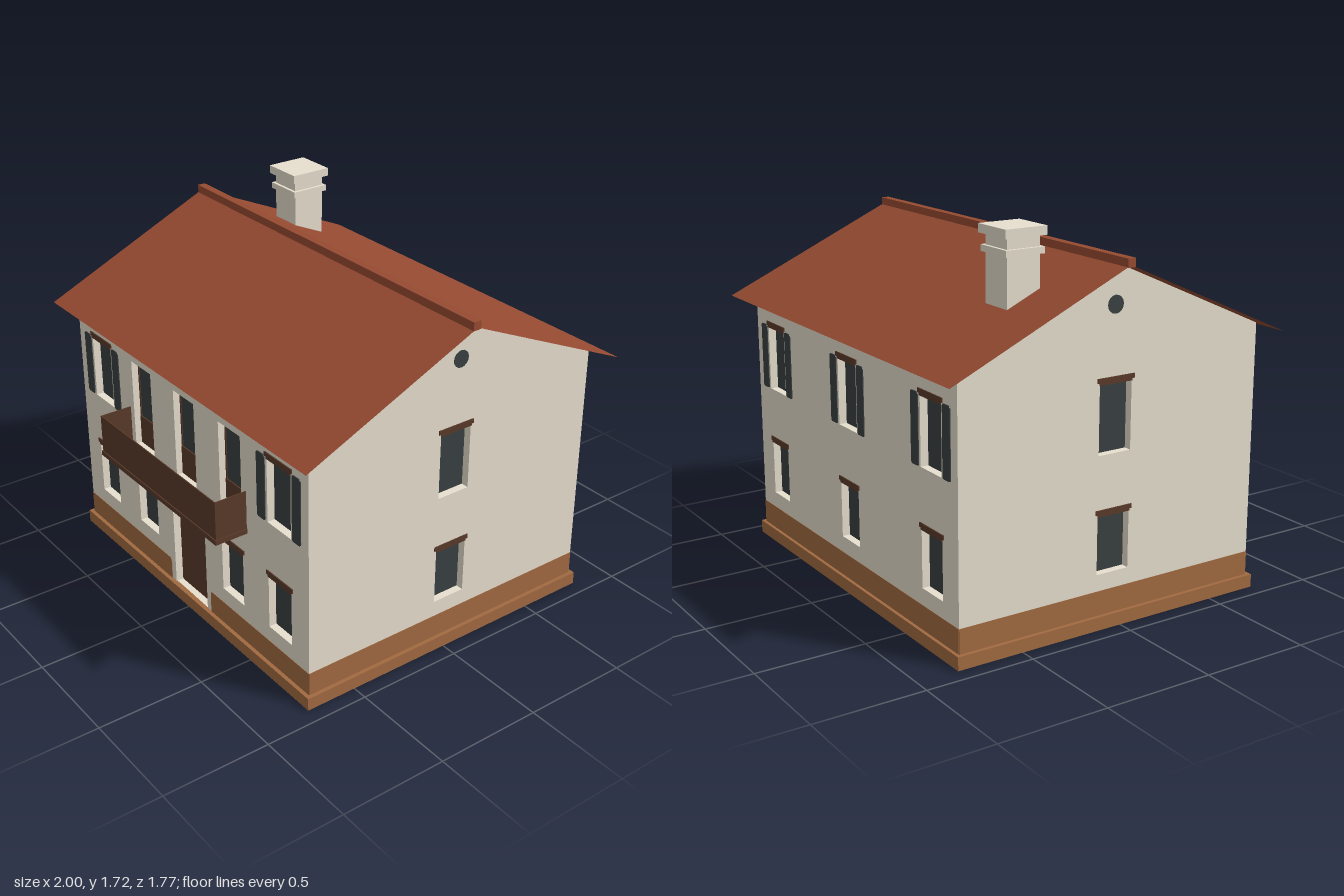
import * as THREE from 'three';

const mat = (name, color, side = THREE.FrontSide) => {
  const m = new THREE.MeshStandardMaterial({ color, side });
  m.name = name;
  return m;
};

export function createModel() {
  const plaster = mat('plaster', 0xe7dfce);
  const tile = mat('roof tile', 0x964b31, THREE.DoubleSide);
  const stone = mat('plinth stone', 0xa26a41);
  const wood = mat('dark wood', 0x5a3a29);
  const slate = mat('slate glass', 0x394041);

  const model = new THREE.Group();
  model.name = 'house';

  const add = (parent, name, geometry, material) => {
    const mesh = new THREE.Mesh(geometry, material);
    mesh.name = name;
    parent.add(mesh);
    return mesh;
  };
  // box given by its minimum and maximum corners
  const box = (parent, name, material, x0, x1, y0, y1, z0, z1) => {
    const mesh = add(parent, name, new THREE.BoxGeometry(x1 - x0, y1 - y0, z1 - z0), material);
    mesh.position.set((x0 + x1) / 2, (y0 + y1) / 2, (z0 + z1) / 2);
    return mesh;
  };
  const outline = (pts, Type = THREE.Shape) => new Type(pts.map(p => new THREE.Vector2(...p)));
  const rect = (x0, x1, y0, y1, Type) => outline([[x0, y0], [x1, y0], [x1, y1], [x0, y1]], Type);
  const extrude = (shape, depth) =>
    new THREE.ExtrudeGeometry(shape, { depth, bevelEnabled: false, curveSegments: 5 });
  const roundRect = (w, h, r) => {
    const s = new THREE.Shape(), x = w / 2, y = h / 2;
    s.absarc(x - r, y - r, r, 0, Math.PI / 2);
    s.absarc(-x + r, y - r, r, Math.PI / 2, Math.PI);
    s.absarc(-x + r, -y + r, r, Math.PI, Math.PI * 1.5);
    s.absarc(x - r, -y + r, r, Math.PI * 1.5, Math.PI * 2);
    return s;
  };

  const X = 0.908, Z0 = -0.795, Z1 = 0.725, FOOT = 0.055;
  const RIDGE_Z = -0.04, RIDGE_Y = 1.573, SLOPE = 0.447, RECESS = 0.04;
  const roofY = z => RIDGE_Y - Math.abs(z - RIDGE_Z) * SLOPE;

  // a wall with its outer face at local z = 0 and recessed openings
  function facade(name, wallPoints, openings, position, angle) {
    const group = new THREE.Group();
    group.name = name;
    group.position.set(...position);
    group.rotation.y = angle;
    model.add(group);
    const shape = outline(wallPoints);
    for (const o of openings) {
      const x0 = o.x - o.w / 2, x1 = o.x + o.w / 2;
      shape.holes.push(rect(x0, x1, o.y0, o.y1, THREE.Path));
      const pane = box(group, o.door ? 'frontDoor' : 'windowPane', o.door ? wood : slate,
        x0, x1, o.y0, o.y1, -RECESS - 0.01, -RECESS + 0.004);
      if (o.balcony) {
        pane.name = 'balconyDoorPane';
        box(group, 'balconyDoorPanel', wood, x0, x1, o.y0, 0.8, -RECESS, -RECESS + 0.01);
        const frame = rect(x0, x1, o.y0, o.y1);
        frame.holes.push(rect(x0 + 0.008, x1 - 0.008, o.y0 + 0.008, o.y1 - 0.01, THREE.Path));
        add(group, 'balconyDoorFrame', extrude(frame, 0.008), wood).position.z = -RECESS;
      }
      if (o.lintel) {
        const half = o.lintel / 2, h = o.door ? 0.03 : 0.02;
        box(group, 'lintel', wood, o.x - half, o.x + half, o.y1, o.y1 + h, -0.02, 0.005);
        box(group, 'lintelStep', wood, o.x - half + 0.01, o.x + half - 0.01,
          o.y1 - 0.01, o.y1, -0.02, 0.004);
      }
      if (o.shutters) for (const s of [-1, 1]) {
        add(group, 'shutter', extrude(roundRect(0.058, 0.31, 0.012), 0.004), slate)
          .position.set(o.x + s * 0.123, 0.925, 0);
      }
    }
    add(group, 'wall', extrude(shape, RECESS), plaster).position.z = -RECESS;
    return group;
  }

  const upper = x => ({ x, w: 0.163, y0: 0.77, y1: 1.08, lintel: 0.187, shutters: true });
  const lower = x => ({ x, w: 0.163, y0: 0.245, y1: 0.512, lintel: 0.186 });
  const balconyDoor = x => ({ x, w: 0.163, y0: 0.66, y1: 1.085, balcony: true });
  const sideWindows = u => [{ ...upper(u), shutters: false }, lower(u)];

  // front and back walls
  const eave = roofY(Z1) - 0.004;
  const longWall = [[-X, FOOT], [X, FOOT], [X, eave], [-X, eave]];
  const front = facade('frontWall', longWall, [
    ...[-0.706, 0.706].map(upper),
    ...[-0.706, -0.353, 0.353, 0.706].map(lower),
    ...[-0.353, 0, 0.353].map(balconyDoor),
    { x: 0, w: 0.266, y0: 0.06, y1: 0.573, lintel: 0.318, door: true },
  ], [0, 0, Z1], 0);
  const back = facade('backWall', longWall,
    [-0.706, 0, 0.706].flatMap(x => [upper(x), lower(x)]), [0, 0, Z0], Math.PI);

  // gable walls, each with a round vent
  for (const s of [-1, 1]) {
    const pts = [[s * Z0, FOOT], [s * Z1, FOOT], [s * Z1, roofY(Z1) - 0.004],
      [s * RIDGE_Z, RIDGE_Y - 0.004], [s * Z0, roofY(Z0) - 0.004]];
    const gable = facade(s < 0 ? 'leftGable' : 'rightGable', pts, sideWindows(s * -0.034),
      [-s * X, 0, 0], -s * Math.PI / 2);
    const vent = add(gable, 'roundVent', new THREE.CylinderGeometry(0.039, 0.039, 0.006, 16), slate);
    vent.rotation.x = Math.PI / 2;
    vent.position.set(s * -0.043, 1.4, 0);
    const a = Math.min(s * Z0, s * Z1), b = Math.max(s * Z0, s * Z1);
    box(gable, 'plinthBand', stone, a, b, 0.06, 0.17, -0.002, 0.002);
  }

  // plinth bands on front and back, rounded beside the front door
  box(back, 'plinthBand', stone, -X, X, 0.06, 0.17, -0.002, 0.002);
  for (const d of [-1, 1]) {
    const s = new THREE.Shape();
    s.moveTo(d * X, 0.06);
    s.lineTo(d * 0.166, 0.06);
    s.lineTo(d * 0.166, 0.155);
    s.quadraticCurveTo(d * 0.166, 0.17, d * 0.181, 0.17);
    s.lineTo(d * X, 0.17);
    add(front, 'plinthBand', extrude(s, 0.002), stone);
  }

  // base: a thin rim, open below, with the floor near its top
  const rim = rect(-0.928, 0.928, -0.745, 0.812);
  rim.holes.push(rect(-0.922, 0.922, -0.739, 0.806, THREE.Path));
  add(model, 'baseRim', extrude(rim, 0.06), stone).rotation.x = -Math.PI / 2;
  box(model, 'baseFloor', stone, -0.923, 0.923, 0.05, 0.06, -0.807, 0.74);

  // roof: two thin slopes and a ridge cap
  for (const [name, z] of [['frontRoof', 0.805], ['backRoof', -0.885]]) {
    const g = new THREE.PlaneGeometry(2, Math.hypot(z - RIDGE_Z, RIDGE_Y - roofY(z)));
    const mesh = add(model, name, g, tile);
    mesh.rotation.order = 'YXZ';
    mesh.rotation.set(Math.atan(SLOPE) - Math.PI / 2, z > 0 ? 0 : Math.PI, 0);
    mesh.position.set(0, (RIDGE_Y + roofY(z)) / 2, (RIDGE_Z + z) / 2);
  }
  box(model, 'ridgeCap', tile, -1, 1, 1.563, 1.601, -0.056, -0.018);

  // small rafter ends beneath the eaves
  for (const wall of [front, back]) for (let i = 0; i < 15; i++) {
    const x = -0.84 + i * 0.12;
    box(wall, 'rafterEnd', wood, x - 0.006, x + 0.006, 1.203, 1.218, -0.01, 0.006);
  }

  // chimney
  const chimney = new THREE.Group();
  chimney.name = 'chimney';
  chimney.position.set(-0.648, 0, -0.369);
  model.add(chimney);
  for (const [name, w, y0, y1] of [['shaft', 0.158, 1.33, 1.69], ['collar', 0.186, 1.605, 1.633], ['cap', 0.199, 1.68, 1.718]])
    box(chimney, name, plaster, -w / 2, w / 2, y0, y1, -w / 2, w / 2);

  // balcony with thin panels
  const balcony = new THREE.Group();
  balcony.name = 'balcony';
  model.add(balcony);
  box(balcony, 'balconyFloor', wood, -0.475, 0.475, 0.637, 0.66, Z1, 0.885);
  box(balcony, 'balconyFront', wood, -0.47, 0.47, 0.66, 0.841, 0.875, 0.88);
  for (const s of [-1, 1])
    box(balcony, 'balconySide', wood, s * 0.4675 - 0.0025, s * 0.4675 + 0.0025, 0.66, 0.841, Z1, 0.875);

  return model;
}
